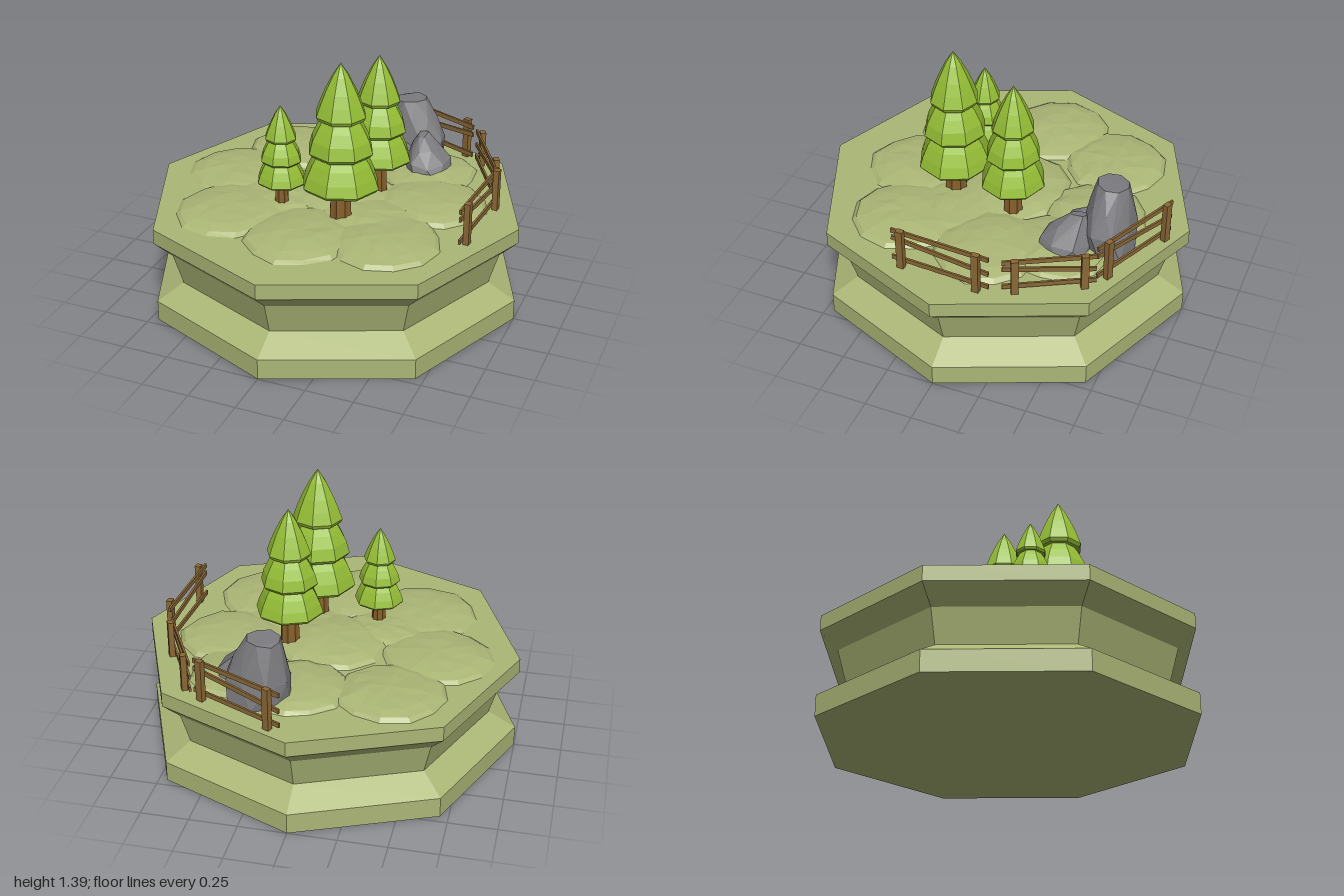
import * as THREE from 'three';
import { ConvexGeometry } from 'three/addons/geometries/ConvexGeometry.js';

const material = (color) => new THREE.MeshStandardMaterial({ color, flatShading: true });
const GROUND = 0.53;

// Small repeatable noise in -1..1
const noise = (n) => {
  const s = Math.sin(n * 127.1 + 3.7) * 43758.5453;
  return (s - Math.floor(s)) * 2 - 1;
};

function addMesh(parent, name, geometry, mat, x = 0, y = 0, z = 0) {
  const mesh = new THREE.Mesh(geometry, mat);
  mesh.name = name;
  mesh.position.set(x, y, z);
  parent.add(mesh);
  return mesh;
}

function lathe(profile, sides) {
  return new THREE.LatheGeometry(profile.map(([r, y]) => new THREE.Vector2(r, y)), sides);
}

// Low faceted dome with an uneven outline
function moundGeometry(rx, rz, height, seed) {
  const sides = 12;
  const geo = new THREE.SphereGeometry(1, sides, 4, 0, Math.PI * 2, 0, Math.PI / 2);
  const p = geo.attributes.position;
  for (let i = 0; i < p.count; i++) {
    const column = (i % (sides + 1)) % sides;
    const row = Math.floor(i / (sides + 1));
    const k = 1 + 0.05 * noise(seed * 31 + column);
    const lift = row === 0 || row === 4 ? 0 : 0.004 * noise(seed * 57 + column + row * 13);
    p.setXYZ(i, p.getX(i) * rx * k, p.getY(i) * height + lift, p.getZ(i) * rz * k);
  }
  return geo;
}

// Convex stone from stacked rings: [y, centre x, centre z, radius x, radius z]
function rockGeometry(rings, sides, seed) {
  const points = [];
  rings.forEach(([y, cx, cz, rx, rz], row) => {
    for (let i = 0; i < sides; i++) {
      const a = ((i + row * 0.4) / sides) * Math.PI * 2;
      const k = 1 + 0.08 * noise(seed + row * 17 + i);
      const dy = row === 0 ? 0 : 0.012 * noise(seed + row * 29 + i * 3);
      points.push(new THREE.Vector3(cx + Math.cos(a) * rx * k, y + dy, cz + Math.sin(a) * rz * k));
    }
  });
  return new ConvexGeometry(points);
}

// Three tiered crown on a fluted trunk; crown is 0.67 tall at scale 1
function makeTree(x, z, crownBase, scale, leaf, bark) {
  const tree = new THREE.Group();
  tree.name = 'tree';
  tree.position.set(x, 0, z);
  const profile = [
    [0, 0], [0.19, 0], [0.205, 0.018], [0.187, 0.075], [0.158, 0.14], [0.125, 0.195],
    [0.155, 0.185], [0.172, 0.205], [0.155, 0.27], [0.125, 0.33], [0.095, 0.38],
    [0.123, 0.377], [0.133, 0.397], [0.11, 0.46], [0.085, 0.52], [0.045, 0.6], [0, 0.67],
  ];
  addMesh(tree, 'crown', lathe(profile, 8).scale(scale, scale, scale * 0.95), leaf, 0, crownBase, 0);
  const h = crownBase + 0.02 - GROUND;
  const trunk = new THREE.CylinderGeometry(0.048 * scale, 0.056 * scale, h, 16);
  const p = trunk.attributes.position;
  for (let i = 0; i < p.count; i++) {
    const a = Math.atan2(p.getZ(i), p.getX(i));
    const k = 1 + 0.08 * Math.cos(a * 8);
    p.setX(i, p.getX(i) * k);
    p.setZ(i, p.getZ(i) * k);
  }
  addMesh(tree, 'trunk', trunk, bark, 0, GROUND + h / 2, 0);
  return tree;
}

// Fence panel between two ground points, posts on its outer side
function makeFence([x1, z1], [x2, z2], postHeight, wood) {
  const fence = new THREE.Group();
  fence.name = 'fence';
  const length = Math.hypot(x2 - x1, z2 - z1);
  fence.position.set((x1 + x2) / 2, GROUND, (z1 + z2) / 2);
  fence.rotation.y = Math.atan2(-(z2 - z1), x2 - x1);
  const k = postHeight / 0.225;
  for (const side of [-1, 1]) {
    addMesh(fence, 'post', new THREE.BoxGeometry(0.037, postHeight, 0.03), wood,
      side * (length / 2 - 0.06), postHeight / 2, 0.019);
  }
  // Rail: height at the start, height at the end
  for (const [a, b] of [[0.198, 0.198], [0.155, 0.11], [0.032, 0.032]]) {
    const rail = addMesh(fence, 'rail', new THREE.BoxGeometry(length, 0.025, 0.011), wood,
      0, k * (a + b) / 2, 0);
    rail.rotation.z = Math.atan2(k * (b - a), length);
  }
  return fence;
}

export function createModel() {
  const model = new THREE.Group();
  model.name = 'woodlandPlinth';
  const grass = material(0xabb676);
  const leaf = material(0x96bf36);
  const bark = material(0x87602a);
  const wood = material(0x8a6835);
  const stone = material(0x7c7c80);

  // Octagonal plinth
  addMesh(model, 'plinth', lathe([
    [0, 0], [1, 0], [1, 0.11], [0.855, 0.19], [0.905, 0.36], [1, 0.45], [1, GROUND], [0, GROUND],
  ], 8), grass);

  // Grassy mounds: x, z, radius x, radius z, height
  [
    [-0.4, -0.47, 0.28, 0.27, 0.045], [0.06, -0.52, 0.26, 0.27, 0.045],
    [0.38, -0.42, 0.25, 0.28, 0.045], [-0.58, -0.07, 0.29, 0.29, 0.045],
    [0, -0.04, 0.31, 0.29, 0.052], [0.5, -0.1, 0.29, 0.27, 0.05],
    [-0.43, 0.36, 0.29, 0.3, 0.045], [0, 0.49, 0.28, 0.3, 0.045],
    [0.42, 0.38, 0.28, 0.3, 0.045], [-0.27, 0.15, 0.25, 0.2, 0.04],
    [0.25, 0.17, 0.27, 0.22, 0.042],
  ].forEach(([x, z, rx, rz, h], i) => {
    addMesh(model, 'mound', moundGeometry(rx, rz, h, i + 1), grass, x, GROUND, z);
  });

  // Trees
  model.add(makeTree(0.125, 0.24, 0.72, 1, leaf, bark));
  model.add(makeTree(0.195, -0.11, 0.73, 0.87, leaf, bark));
  model.add(makeTree(-0.215, 0.215, 0.67, 0.64, leaf, bark));

  // Rocks
  const rocks = new THREE.Group();
  rocks.name = 'rocks';
  addMesh(rocks, 'tallRock', rockGeometry([
    [GROUND, 0.23, -0.64, 0.165, 0.135], [0.65, 0.23, -0.64, 0.165, 0.135],
    [0.78, 0.21, -0.64, 0.125, 0.105], [0.865, 0.19, -0.64, 0.085, 0.08],
  ], 8, 5), stone);
  addMesh(rocks, 'lowRock', rockGeometry([
    [GROUND, 0.36, -0.46, 0.125, 0.145], [0.6, 0.36, -0.46, 0.115, 0.135],
    [0.67, 0.33, -0.48, 0.075, 0.09], [0.72, 0.31, -0.51, 0.03, 0.04],
  ], 7, 11), stone);
  addMesh(rocks, 'smallRock', rockGeometry([
    [GROUND, 0.19, -0.47, 0.095, 0.085], [0.6, 0.19, -0.48, 0.085, 0.075],
    [0.65, 0.2, -0.49, 0.04, 0.04],
  ], 7, 23), stone);
  model.add(rocks);

  // Fence along the back left edge
  model.add(makeFence([0.776, 0.3], [0.81, -0.23], 0.225, wood));
  model.add(makeFence([0.78, -0.285], [0.56, -0.69], 0.198, wood));
  model.add(makeFence([0.54, -0.685], [0.05, -0.91], 0.225, wood));
  // Posts face outward
  model.traverse((o) => { if (o.name === 'post') o.position.z = Math.abs(o.position.z); });
  return model;
}
